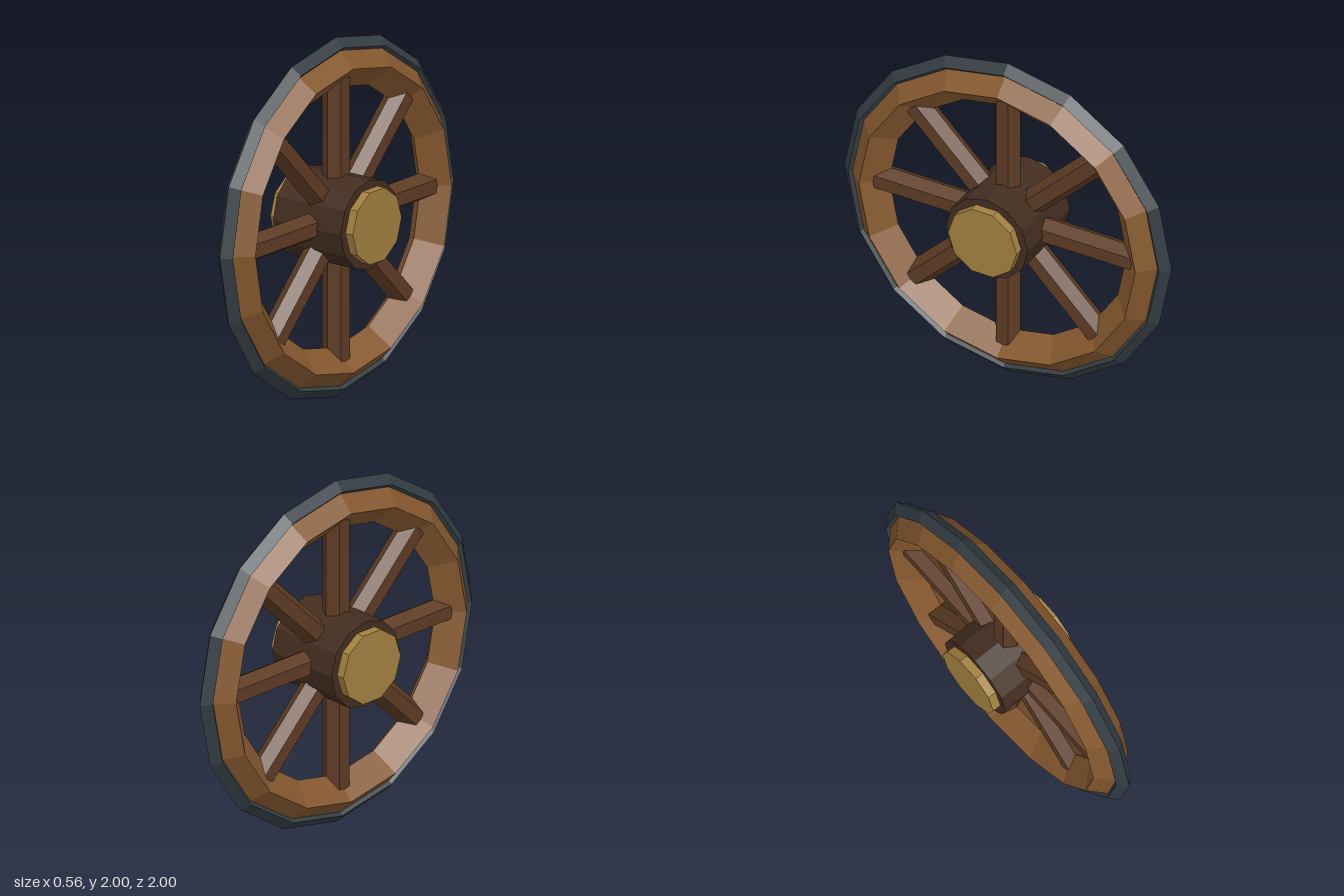
import * as THREE from 'three';

const material = (color) => new THREE.MeshStandardMaterial({ color, flatShading: true });

function addPart(group, name, geometry, mat) {
  const mesh = new THREE.Mesh(geometry, mat);
  mesh.name = name;
  group.add(mesh);
  return mesh;
}

// Ring with a diamond cross-section around the x axis
const diamondRing = (radius, tube) => new THREE.TorusGeometry(radius, tube, 4, 16).rotateY(Math.PI / 2);

// Drum lying along the x axis
const drum = (radius, length, sides) =>
  new THREE.CylinderGeometry(radius, radius, length, sides).rotateZ(Math.PI / 2);

export function createModel() {
  const model = new THREE.Group();
  model.name = 'wagonWheel';
  const wheel = new THREE.Group();
  wheel.name = 'wheel';
  wheel.position.y = 1;
  model.add(wheel);

  // Wooden rim and the iron tyre around it
  addPart(wheel, 'rim', diamondRing(0.845, 0.12), material(0x85582f));
  addPart(wheel, 'tyre', diamondRing(0.95, 0.05), material(0x343d43));

  // Hub with a brass cap at each end
  addPart(wheel, 'hub', drum(0.25, 0.46, 12), material(0x432d20));
  const brass = material(0xa38040);
  for (const side of [-1, 1]) {
    addPart(wheel, side > 0 ? 'leftHubCap' : 'rightHubCap', drum(0.21, 0.1, 10), brass).position.x = side * 0.23;
  }

  // Eight hexagonal spokes from the hub into the rim
  const spokeShape = new THREE.CylinderGeometry(0.075, 0.075, 0.7, 6).translate(0, 0.5, 0);
  const spokeWood = material(0x5e3c25);
  for (let i = 0; i < 8; i++) {
    addPart(wheel, `spoke${i + 1}`, spokeShape, spokeWood).rotation.x = (i * Math.PI) / 4;
  }
  return model;
}
